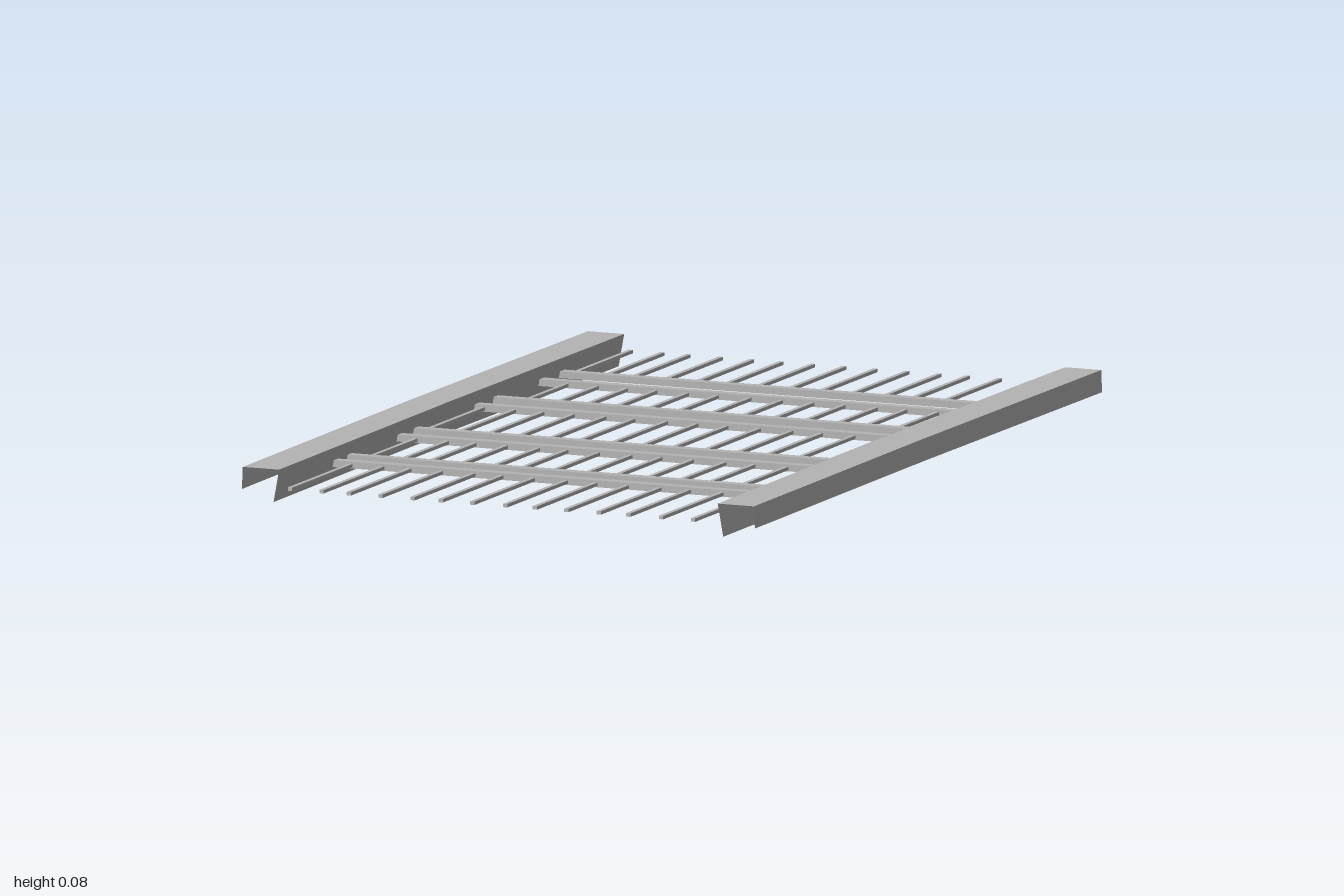
import * as THREE from 'three';

// Open sheet-metal channel: a bent profile lofted along z with a slight bow
function channelGeometry(side) {
  const profile = [[0.65, 0.025], [0.648, 0.077], [0.556, 0.077], [0.57, 0]];
  const sections = side > 0
    ? [[-1, 0.002], [0, -0.004], [0.99, 0.002]]
    : [[-0.995, 0.002], [0, -0.004], [0.985, 0.003]];
  const point = (p, s) => [side * p[0] + s[1], p[1], s[0]];
  const positions = [];
  for (let i = 0; i < sections.length - 1; i++) {
    for (let j = 0; j < profile.length - 1; j++) {
      const a = point(profile[j], sections[i]);
      const b = point(profile[j + 1], sections[i]);
      const c = point(profile[j + 1], sections[i + 1]);
      const d = point(profile[j], sections[i + 1]);
      const corners = side > 0 ? [a, b, c, a, c, d] : [a, c, b, a, d, c];
      positions.push(...corners.flat());
    }
  }
  const geometry = new THREE.BufferGeometry();
  geometry.setAttribute('position', new THREE.Float32BufferAttribute(positions, 3));
  geometry.computeVertexNormals();
  return geometry;
}

export function createModel() {
  const model = new THREE.Group();
  model.name = 'railedGrate';
  const steel = new THREE.MeshStandardMaterial({ color: 0xb4b4b4, side: THREE.DoubleSide });
  steel.name = 'grey steel';

  const add = (name, geometry, x = 0, y = 0, z = 0) => {
    const mesh = new THREE.Mesh(geometry, steel);
    mesh.name = name;
    mesh.position.set(x, y, z);
    model.add(mesh);
    return mesh;
  };

  // Side rails
  add('leftRail', channelGeometry(1));
  add('rightRail', channelGeometry(-1));

  // Cross bars piercing the inner flanges
  const barGeometry = new THREE.BoxGeometry(1.22, 0.016, 0.026);
  for (const z of [-0.658, -0.542, -0.283, -0.177, 0.173, 0.268, 0.56, 0.64]) {
    add('crossBar', barGeometry, -0.012, 0.037, z);
  }

  // Rows of thin rods: start z, end z, x positions
  const frontRow = [-0.519, -0.439, -0.37, -0.29, -0.209, -0.138, -0.058, 0.025, 0.1, 0.18, 0.262, 0.336, 0.419, 0.5];
  const rows = [
    [-1, -0.66, [-0.54, -0.46, -0.394, -0.312, -0.233, -0.159, -0.079, 0, 0.079, 0.159, 0.241, 0.312, 0.394, 0.476]],
    [-0.54, -0.285, [-0.495, -0.418, -0.344, -0.27, -0.19, -0.114, -0.032, 0.048, 0.127, 0.206, 0.288, 0.362, 0.442, 0.521]],
    [-0.18, 0.17, [-0.545, -0.466, -0.394, -0.317, -0.238, -0.164, -0.082, -0.005, 0.071, 0.153, 0.235, 0.31, 0.392, 0.471]],
    [0.27, 0.56, frontRow],
    [0.64, 1, frontRow],
  ];
  for (const [z0, z1, xs] of rows) {
    const rodGeometry = new THREE.BoxGeometry(0.011, 0.008, z1 - z0);
    for (const x of xs) add('rod', rodGeometry, x, 0.036, (z0 + z1) / 2);
  }

  return model;
}
